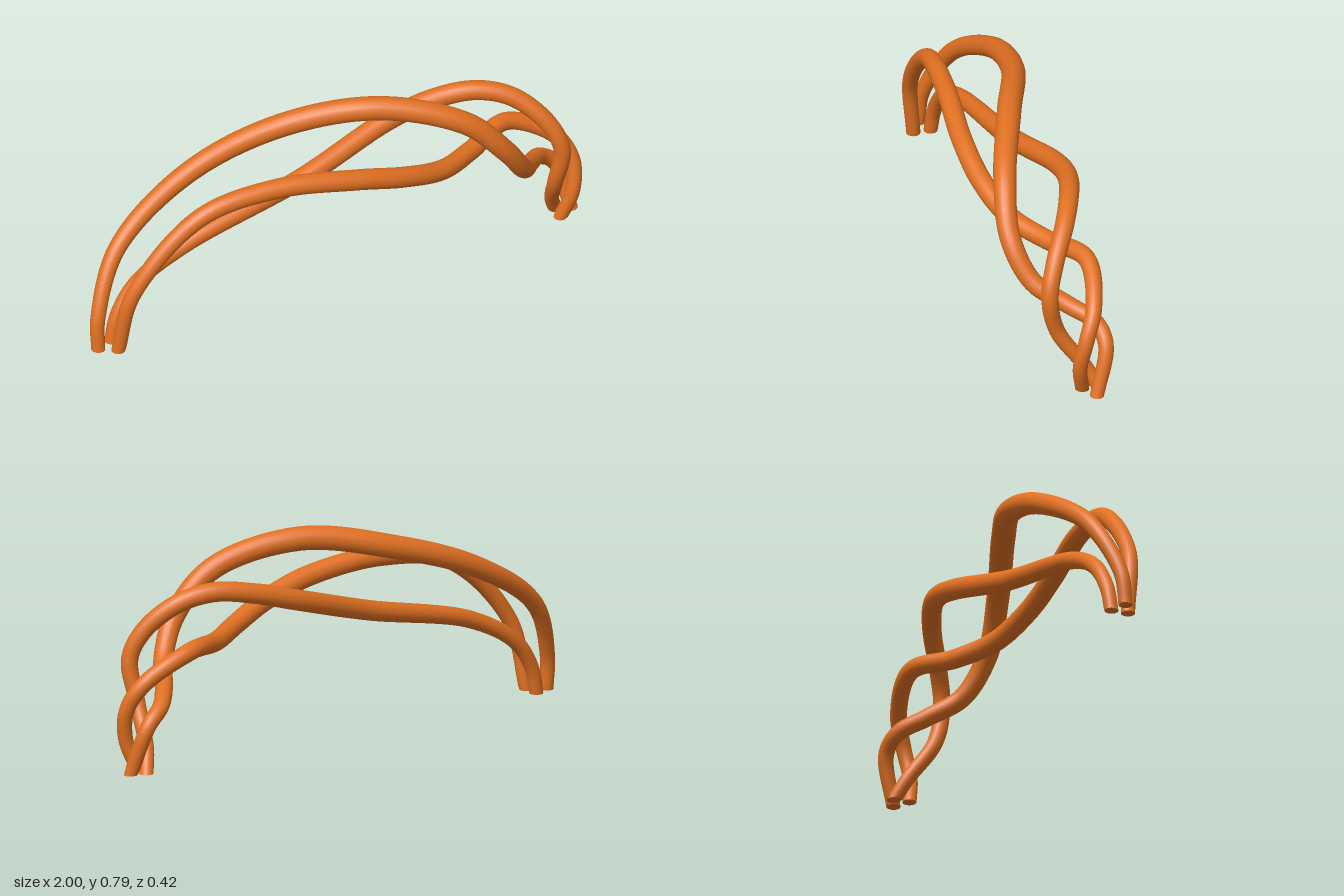
import * as THREE from 'three';

const SEGMENTS = 140, SIDES = 20;
const END_RADIUS = 0.026;

// Tube whose radius swells toward the middle and whose ends are cut flat on the ground.
function taperedTube(curve, swell) {
  const geometry = new THREE.TubeGeometry(curve, SEGMENTS, END_RADIUS, SIDES, false);
  const pos = geometry.attributes.position, normal = geometry.attributes.normal;
  const centre = new THREE.Vector3(), v = new THREE.Vector3();
  for (let i = 0; i <= SEGMENTS; i++) {
    const t = i / SEGMENTS;
    const atFoot = i === 0 || i === SEGMENTS;
    const radius = END_RADIUS + swell * Math.pow(Math.max(0, Math.sin(Math.PI * t)), 1.2);
    curve.getPointAt(t, centre);
    for (let j = 0; j <= SIDES; j++) {
      const k = i * (SIDES + 1) + j;
      v.fromBufferAttribute(normal, k).multiplyScalar(radius).add(centre);
      pos.setXYZ(k, v.x, atFoot ? 0 : Math.max(0, v.y), v.z);
    }
  }
  return geometry;
}

// One strand along a centre line from the -x foot to the +x foot.
function makeStrand(name, material, swell, path) {
  const points = path.map((p) => new THREE.Vector3(...p));
  const curve = new THREE.CatmullRomCurve3(points);
  curve.arcLengthDivisions = 600;
  const strand = new THREE.Group();
  strand.name = name;
  const tube = new THREE.Mesh(taperedTube(curve, swell), material);
  tube.name = name + 'Tube';
  strand.add(tube);

  // Flat soles closing both feet
  for (const foot of [points[0], points[points.length - 1]]) {
    const sole = new THREE.Mesh(new THREE.CircleGeometry(END_RADIUS, SIDES).rotateX(Math.PI / 2), material);
    sole.position.copy(foot);
    sole.name = 'footSole';
    strand.add(sole);
  }
  return strand;
}

export function createModel() {
  const group = new THREE.Group();
  group.name = 'braidedArch';
  const orange = new THREE.MeshStandardMaterial({ color: 0xe07022 });
  orange.name = 'orange';

  // Tallest strand, swinging from back to front
  group.add(makeStrand('tallStrand', orange, 0.019, [
    [-0.972, 0, -0.04], [-0.965, 0.13, -0.055], [-0.85, 0.36, -0.125], [-0.55, 0.558, -0.172],
    [-0.2, 0.685, -0.13], [0.15, 0.747, 0.01], [0.45, 0.66, 0.135], [0.6, 0.505, 0.168],
    [0.7, 0.36, 0.115], [0.78, 0.29, 0.01], [0.86, 0.245, -0.07], [0.93, 0.185, -0.085],
    [0.972, 0, -0.035]]));

  // Strand that bows out to the front
  group.add(makeStrand('frontStrand', orange, 0.013, [
    [-0.91, 0, 0], [-0.86, 0.26, 0.03], [-0.6, 0.53, 0.055], [-0.3, 0.588, 0.095],
    [0, 0.555, 0.138], [0.2, 0.5, 0.135], [0.38, 0.445, 0.09], [0.54, 0.425, 0.005],
    [0.73, 0.437, -0.083], [0.91, 0.34, -0.045], [0.96, 0.24, 0], [0.95, 0.12, 0.022],
    [0.91, 0, 0]]));

  // Strand that stays behind and peaks late
  group.add(makeStrand('backStrand', orange, 0.013, [
    [-0.905, 0, -0.065], [-0.88, 0.1, -0.07], [-0.8, 0.215, -0.075], [-0.6, 0.33, -0.07],
    [-0.1, 0.455, -0.09], [0.27, 0.565, -0.13], [0.45, 0.615, -0.11], [0.6, 0.635, -0.06],
    [0.72, 0.6, 0], [0.82, 0.5, 0.075], [0.862, 0.39, 0.108], [0.852, 0.23, 0.075],
    [0.885, 0.08, -0.02], [0.918, 0, -0.06]]));

  return group;
}
